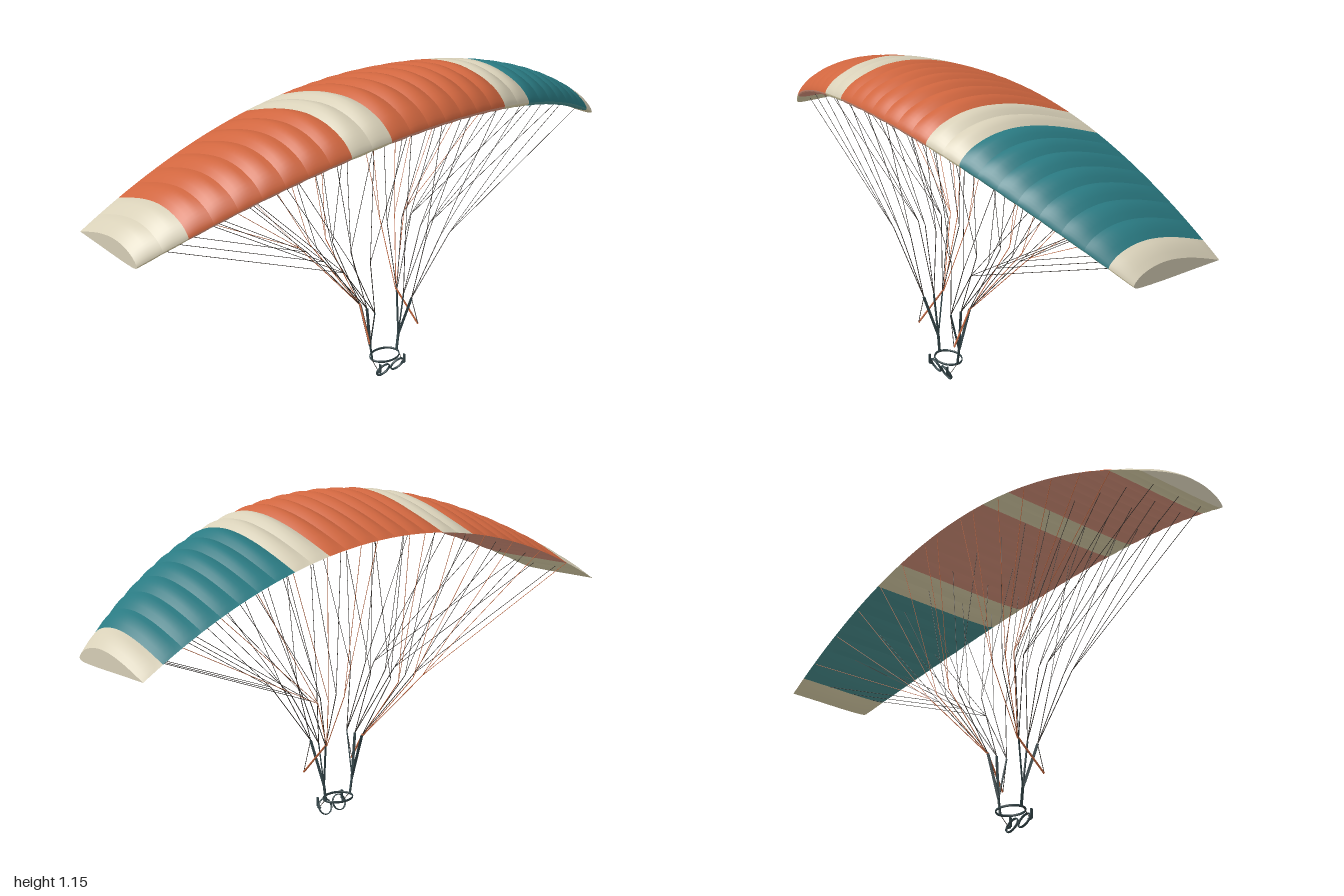
import * as THREE from 'three';
import { mergeGeometries } from 'three/addons/utils/BufferGeometryUtils.js';

const mat = (name, color, side = THREE.FrontSide) => {
  const m = new THREE.MeshStandardMaterial({ color, side });
  m.name = name;
  return m;
};
const V = (x, y, z) => new THREE.Vector3(x, y, z);

const CELLS = 28, SUB = 4;
// Wing plan: arc height, leading edge and trailing edge across the span
const arcY = x => 1.05 - 0.285 * x * x;
const noseZ = x => 0.297 - 0.262 * x * x;
const tailZ = x => -0.287 - 0.013 * x * x;
const chord = x => noseZ(x) - tailZ(x);

// Aerofoil loop (distance from nose, height), from tail over the top, round the nose and back
const foil = new THREE.SplineCurve([
  [1, 0], [0.83, 0.06], [0.66, 0.112], [0.5, 0.146], [0.36, 0.158], [0.22, 0.144], [0.1, 0.104],
  [0.03, 0.055], [0, 0.01], [0.03, -0.014], [0.12, -0.022], [0.35, -0.02], [0.65, -0.01], [1, 0],
].map(p => new THREE.Vector2(...p))).getPoints(39);
const NOSE = 24, TAIL = foil.length - 1;

// Point on the inflated skin; s runs 0..1 across one cell
function skinPoint(x, s, j) {
  const { x: t, y: h } = foil[j];
  const puff = Math.sin(Math.PI * s) * Math.sqrt(Math.max(0, Math.sin(Math.PI * Math.min(1, t))));
  const lift = h + puff * (j <= NOSE ? 0.024 : -0.016);
  return [x, arcY(x) + lift * chord(x), noseZ(x) - t * chord(x)];
}

// Upper or lower skin of one cell, between two stations of the aerofoil loop
function cellGeometry(i, from, to) {
  const pos = [], idx = [], n = to - from + 1;
  for (let k = 0; k <= SUB; k++) {
    const x = -1 + (2 * (i + k / SUB)) / CELLS;
    for (let j = from; j <= to; j++) pos.push(...skinPoint(x, k / SUB, j));
  }
  for (let k = 0; k < SUB; k++) for (let j = 0; j < n - 1; j++) {
    const a = k * n + j, b = a + 1, c = a + n, d = c + 1;
    idx.push(a, b, c, b, d, c);
  }
  const g = new THREE.BufferGeometry();
  g.setAttribute('position', new THREE.Float32BufferAttribute(pos, 3));
  g.setIndex(idx);
  g.computeVertexNormals();
  return g;
}

// Flat rib across the wing
function ribGeometry(x) {
  const shape = new THREE.Shape(foil.slice(0, -1).map(p =>
    new THREE.Vector2(p.x * chord(x) - noseZ(x), arcY(x) + p.y * chord(x))));
  return new THREE.ShapeGeometry(shape).rotateY(Math.PI / 2).translate(x, 0, 0);
}

// Stand a geometry built along y between two points
function span(make, a, b) {
  const d = b.clone().sub(a);
  const q = new THREE.Quaternion().setFromUnitVectors(V(0, 1, 0), d.clone().normalize());
  const m = a.clone().add(b).multiplyScalar(0.5);
  return make(d.length()).applyQuaternion(q).translate(m.x, m.y, m.z);
}
const cord = (a, b, r) => span(len => new THREE.CylinderGeometry(r, r, len, 5), a, b);
const webbing = (a, b) => span(len => new THREE.BoxGeometry(0.004, len, 0.009), a, b);

export function createModel() {
  const model = new THREE.Group();
  const orange = mat('orange fabric', 0xd0663f);
  const teal = mat('teal fabric', 0x2a7a82);
  const cream = mat('cream fabric', 0xd8d0b8, THREE.DoubleSide);
  const orangeUnder = mat('pale orange underside', 0xe09880);
  const tealUnder = mat('pale teal underside', 0x4c9494);
  const creamUnder = mat('pale cream underside', 0xf2e6ba);
  const lineMat = mat('dark line', 0x35302c);
  const strap = mat('slate webbing', 0x34464a);
  const brake = mat('orange brake cord', 0xc86a40);

  const add = (name, geos, material, parent = model) => {
    const m = new THREE.Mesh(Array.isArray(geos) ? mergeGeometries(geos) : geos, material);
    m.name = name;
    parent.add(m);
    return m;
  };

  // Canopy colour bands, as runs of cells with a paler lower skin
  const canopy = new THREE.Group();
  canopy.name = 'canopy';
  model.add(canopy);
  const creams = [cream, creamUnder], oranges = [orange, orangeUnder], teals = [teal, tealUnder];
  let first = 0;
  for (const [count, [top, under]] of [
    [2, creams], [7, oranges], [2, creams], [7, oranges], [2, creams], [7, teals], [1, creams],
  ]) {
    const cells = Array.from({ length: count }, (_, k) => first + k);
    add('upperPanel', cells.map(i => cellGeometry(i, 0, NOSE)), top, canopy);
    add('lowerPanel', cells.map(i => cellGeometry(i, NOSE, TAIL)), under, canopy);
    first += count;
  }
  const ribs = Array.from({ length: CELLS + 1 }, (_, i) => ribGeometry(-1 + (2 * i) / CELLS));
  add('ribs', ribs, cream, canopy);

  // Suspension rows from front to back: attachment along chord, depth below, node z, riser z.
  // The brake row hooks on one rib further in.
  const rows = [
    { t: 0.15, h: -0.022, node: 0.07, riser: 0.045, shift: 0, material: lineMat },
    { t: 0.4, h: -0.018, node: -0.035, riser: 0.002, shift: 0, material: lineMat },
    { t: 0.68, h: -0.009, node: -0.135, riser: -0.035, shift: 0, material: lineMat },
    { t: 0.98, h: 0, node: -0.175, riser: -0.04, shift: -1, material: brake },
  ];
  // Each node gathers lines from several ribs
  const fans = [[0.125, [1, 3]], [0.195, [5, 7]], [0.24, [9, 11, 13]]];

  for (const s of [-1, 1]) {
    const side = new THREE.Group();
    side.name = s > 0 ? 'leftRigging' : 'rightRigging';
    model.add(side);

    for (const row of rows) {
      const upper = [], lower = [];
      const top = V(s * 0.085, 0.29, row.riser);
      for (const [nx, hooks] of fans) {
        const node = V(s * nx, 0.51, row.node);
        for (const rib of hooks) {
          const x = Math.max(1, rib + row.shift) / 14;
          const hook = V(s * x, arcY(x) + row.h * chord(x), noseZ(x) - row.t * chord(x));
          upper.push(cord(node, hook, 0.001));
        }
        lower.push(cord(top, node, 0.0015));
      }
      add('upperLines', upper, row.material, side);
      add('lowerLines', lower, row.material, side);
    }

    // Risers meeting at the carabiner
    const hang = V(s * 0.066, 0.13, -0.004);
    add('risers', rows.slice(0, 3).map(row => webbing(V(s * 0.085, 0.29, row.riser), hang)), strap, side);
    add('hangStrap', webbing(hang, V(s * 0.057, 0.07, -0.003)), strap, side);

    // Brake cord and its toggle line
    const toggle = V(s * 0.113, 0.178, 0.05);
    add('brakeCord', cord(V(s * 0.085, 0.295, -0.038), toggle, 0.0035), brake, side);
    add('toggleLine', cord(V(s * 0.085, 0.29, 0.045), toggle, 0.0013), lineMat, side);

    // Leg loop and the straps holding it
    const loop = add('legLoop', new THREE.TorusGeometry(0.028, 0.0022, 6, 28), strap, side);
    loop.scale.z = 2;
    loop.position.set(s * 0.033, 0.033, 0.028);
    loop.rotation.x = 0.42;
    add('legStraps', [
      webbing(V(s * 0.057, 0.07, 0.04), V(s * 0.057, 0.037, 0.04)),
      webbing(V(s * 0.057, 0.037, 0.04), V(s * 0.055, 0.03, 0.028)),
    ], strap, side);
    add('legTie', cord(V(s * 0.06, 0.07, 0), V(s * 0.057, 0.035, 0.032), 0.0013), lineMat, side);
  }

  // Waist ring of the harness
  const waist = add('waistRing', new THREE.TorusGeometry(0.055, 0.0024, 6, 32), strap);
  waist.rotation.x = Math.PI / 2;
  waist.scale.set(1.04, 0.83, 1.9);
  waist.position.set(0, 0.069, -0.003);

  return model;
}
